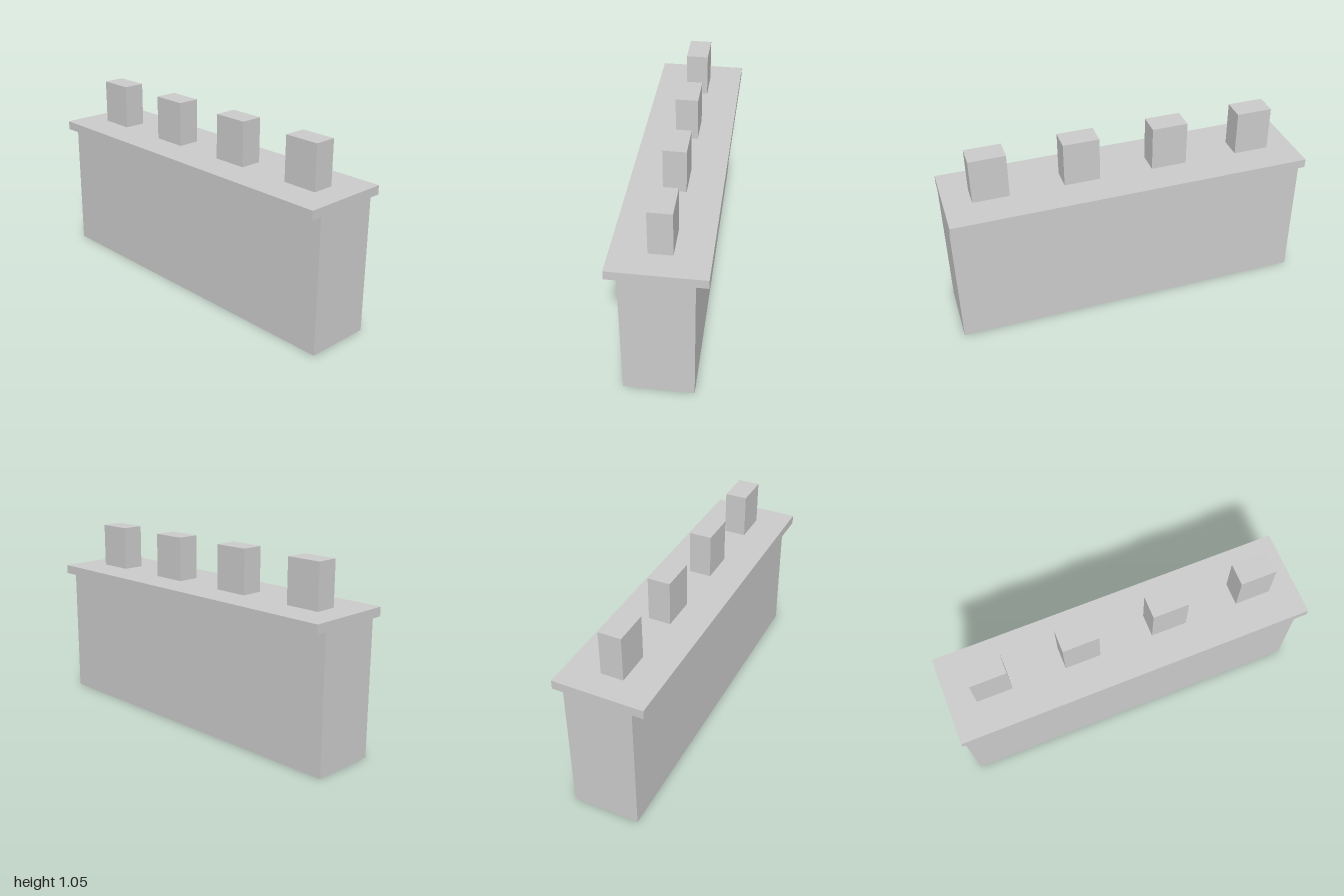
import * as THREE from 'three';

export function createModel() {
  const group = new THREE.Group();
  const material = new THREE.MeshStandardMaterial({ color: 0xcccccc, flatShading: true });

  // Box resting on height y, centred on z = 0
  const addBox = (name, width, height, depth, x, y) => {
    const mesh = new THREE.Mesh(new THREE.BoxGeometry(width, height, depth), material);
    mesh.name = name;
    mesh.position.set(x, y + height / 2, 0);
    group.add(mesh);
  };

  // Wall body and overhanging cap slab, flush at both ends
  addBox('wall', 2, 0.75, 0.375, 0, 0);
  addBox('capSlab', 2, 0.05, 0.5, 0, 0.75);

  // Evenly spaced merlons along the cap
  for (let i = 0; i < 4; i++) {
    addBox(`merlon${i + 1}`, 0.2, 0.25, 0.125, -0.75 + i * 0.5, 0.8);
  }

  return group;
}
